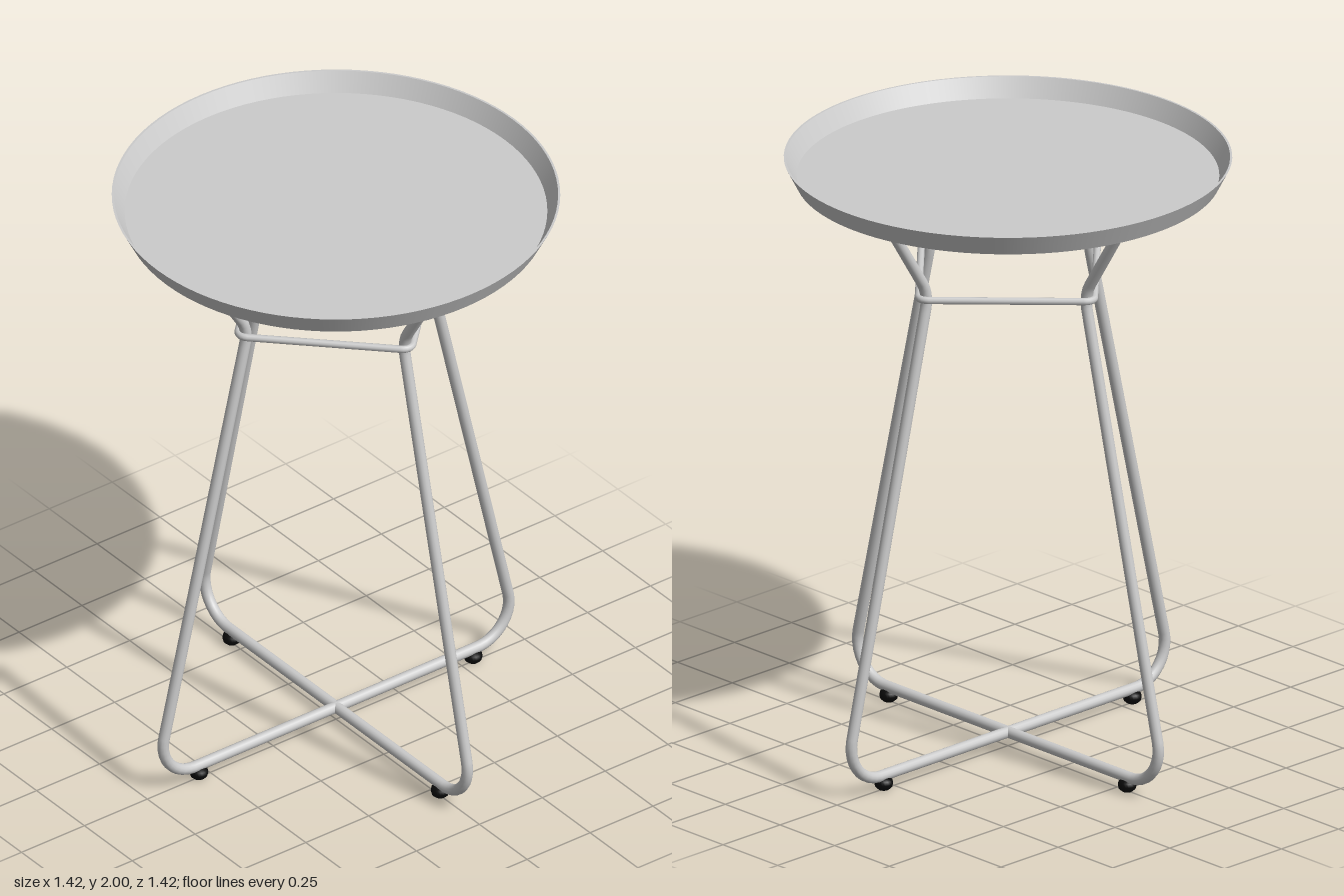
import * as THREE from 'three';

const steel = new THREE.MeshStandardMaterial({ color: 0xcccccc });
const sheet = new THREE.MeshStandardMaterial({ color: 0xcccccc, side: THREE.DoubleSide });
const rubber = new THREE.MeshStandardMaterial({ color: 0x0a0a0a });

// Bent-rod path: straight runs joined by circular bends.
// Each inner point is [x, y, z, tangent length of its bend].
function bentPath(points) {
  const path = new THREE.CurvePath();
  const v = points.map(([x, y, z]) => new THREE.Vector3(x, y, z));
  let from = v[0];
  for (let i = 1; i < v.length - 1; i++) {
    const t = points[i][3];
    const dirIn = v[i].clone().sub(v[i - 1]).normalize();
    const dirOut = v[i + 1].clone().sub(v[i]).normalize();
    const turn = dirIn.angleTo(dirOut);
    const k = t * (1 - (4 / 3) * Math.tan(turn / 4) / Math.tan(turn / 2));
    const a = v[i].clone().addScaledVector(dirIn, -t);
    const b = v[i].clone().addScaledVector(dirOut, t);
    path.add(new THREE.LineCurve3(from, a));
    path.add(new THREE.CubicBezierCurve3(
      a, v[i].clone().addScaledVector(dirIn, -k), v[i].clone().addScaledVector(dirOut, k), b));
    from = b;
  }
  path.add(new THREE.LineCurve3(from, v[v.length - 1]));
  return path;
}

function addMesh(parent, name, geometry, material) {
  const mesh = new THREE.Mesh(geometry, material);
  mesh.name = name;
  parent.add(mesh);
  return mesh;
}

export function createModel() {
  const model = new THREE.Group();
  model.name = 'trayTable';

  // Round tray: thin sheet floor with a flared rim
  const trayProfile = [
    [0, 1.93], [0.674, 1.93], [0.674, 1.93], [0.71, 2], [0.71, 2],
    [0.703, 2], [0.703, 2], [0.669, 1.938], [0.669, 1.938], [0, 1.938],
  ].map(([r, y]) => new THREE.Vector2(r, y));
  addMesh(model, 'tray', new THREE.LatheGeometry(trayProfile, 96), sheet);

  // Two crossing leg frames, each one continuous bent rod
  const half = [[0.72, 0.047, 0, 0.16], [0.35, 1.63, 0, 0.05], [0.552, 1.95, 0]];
  const framePoints = [
    ...half.map(([x, ...rest]) => [-x, ...rest]).reverse(),
    ...half,
  ];
  const frameGeometry = new THREE.TubeGeometry(bentPath(framePoints), 240, 0.0185, 14);
  // Trim the rod ends flat inside the tray floor
  const pos = frameGeometry.attributes.position;
  for (let i = 0; i < pos.count; i++) pos.setY(i, Math.min(pos.getY(i), 1.934));

  // Rubber foot, slightly domed at its lower edge
  const footGeometry = new THREE.LatheGeometry(
    [[0, 0], [0.017, 0], [0.027, 0.009], [0.03, 0.02], [0.028, 0.032], [0.018, 0.04], [0, 0.04]]
      .map(([r, y]) => new THREE.Vector2(r, y)), 20);

  for (let i = 0; i < 2; i++) {
    const frame = new THREE.Group();
    frame.name = i ? 'sideLegFrame' : 'crossLegFrame';
    addMesh(frame, 'legRod', frameGeometry, steel);
    for (const s of [-1, 1]) {
      addMesh(frame, 'foot', footGeometry, rubber).position.x = s * 0.545;
    }
    frame.rotation.y = i * Math.PI / 2;
    model.add(frame);
  }

  // Thin square hoop wrapped around the outside of the four knees
  const c = 0.394, y = 1.618, b = 0.032;
  const hoop = bentPath([
    [c / 2, y, c / 2], [0, y, c, b], [-c, y, 0, b], [0, y, -c, b], [c, y, 0, b], [c / 2, y, c / 2],
  ]);
  addMesh(model, 'kneeHoop', new THREE.TubeGeometry(hoop, 240, 0.012, 10, true), steel);

  return model;
}
